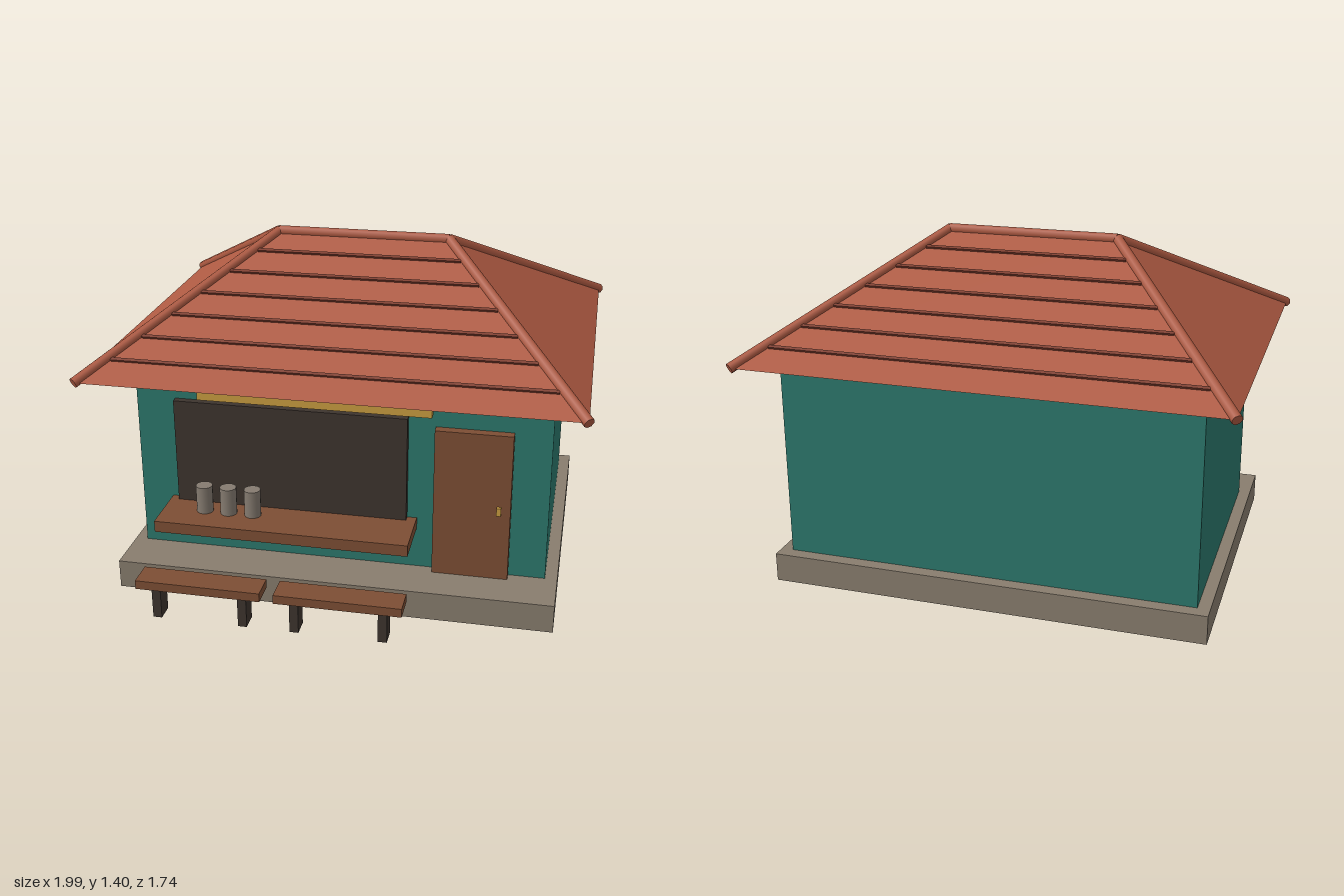
import * as THREE from 'three';

const paint = (name, color) => {
  const m = new THREE.MeshStandardMaterial({ color });
  m.name = name;
  return m;
};

export function createModel() {
  const model = new THREE.Group();
  model.name = 'foodStall';
  const teal = paint('teal wall', 0x2c786c);
  const tile = paint('roof tile', 0xae5a42);
  const tileDark = paint('dark roof tile', 0x7e3c2c);
  const wood = paint('wood', 0x7d4e34);
  const dark = paint('dark wood', 0x3d342e);
  const stone = paint('stone', 0x887d6e);
  const tin = paint('tin', 0x857b70);
  const gold = paint('gold', 0xc99c40);

  const add = (name, geometry, material, parent = model) => {
    const mesh = new THREE.Mesh(geometry, material);
    mesh.name = name;
    parent.add(mesh);
    return mesh;
  };
  // Box given by its extents on each axis
  const box = (name, mat, [x0, x1], [y0, y1], [z0, z1], parent) => {
    const mesh = add(name, new THREE.BoxGeometry(x1 - x0, y1 - y0, z1 - z0), mat, parent);
    mesh.position.set((x0 + x1) / 2, (y0 + y1) / 2, (z0 + z1) / 2);
    return mesh;
  };
  // Round pole between two points
  const pole = (name, a, b, r, parent) => {
    const dir = b.clone().sub(a);
    const mesh = add(name, new THREE.CylinderGeometry(r, r, dir.length(), 8), tile, parent);
    mesh.position.copy(a).add(b).multiplyScalar(0.5);
    mesh.quaternion.setFromUnitVectors(new THREE.Vector3(0, 1, 0), dir.normalize());
  };

  // Building
  box('plinth', stone, [-0.9, 0.9], [0, 0.12], [-0.745, 0.655]);
  box('walls', teal, [-0.85, 0.85], [0.12, 0.957], [-0.69, 0.45]);
  box('servingHatch', dark, [-0.685, 0.28], [0.32, 0.79], [0.44, 0.48]);
  box('counter', wood, [-0.72, 0.32], [0.295, 0.343], [0.45, 0.687]);
  box('signBoard', gold, [-0.575, 0.38], [0.813, 0.917], [0.465, 0.505]);
  box('door', wood, [0.39, 0.7], [0.12, 0.755], [0.45, 0.49]);
  box('doorHandle', gold, [0.645, 0.663], [0.412, 0.446], [0.49, 0.505]);

  // Cups on the counter
  for (const x of [-0.545, -0.444, -0.342]) {
    add('cup', new THREE.CylinderGeometry(0.034, 0.034, 0.116, 16), tin).position.set(x, 0.401, 0.555);
  }

  // Benches
  for (const x of [-0.49, 0.075]) {
    const bench = new THREE.Group();
    bench.name = 'bench';
    model.add(bench);
    box('benchSeat', wood, [x - 0.255, x + 0.255], [0.133, 0.17], [0.758, 0.87], bench);
    for (const s of [-1, 1]) {
      const c = x + s * 0.177;
      box('benchLeg', dark, [c - 0.018, c + 0.018], [0, 0.133], [0.778, 0.852], bench);
    }
  }

  // Hip roof, centred on its ridge
  const roof = new THREE.Group();
  roof.name = 'roof';
  roof.position.z = -0.046;
  model.add(roof);
  const W = 0.98, D = 0.807, R = 0.36, Y0 = 0.955, Y1 = 1.38;
  const A = [-W, Y0, D], B = [W, Y0, D], C = [W, Y0, -D], E = [-W, Y0, -D];
  const P = [-R, Y1, 0], Q = [R, Y1, 0];
  const faces = [A, B, Q, A, Q, P, C, E, P, C, P, Q, B, C, Q, E, A, P, A, E, C, A, C, B];
  const shell = new THREE.BufferGeometry();
  shell.setAttribute('position', new THREE.Float32BufferAttribute(faces.flat(), 3));
  shell.computeVertexNormals();
  add('roofShell', shell, tile, roof);

  // Ridge and hip poles
  const v = (p) => new THREE.Vector3(...p);
  pole('ridgePole', v(P), v(Q), 0.022, roof);
  for (const [low, high] of [[A, P], [E, P], [B, Q], [C, Q]]) {
    pole('hipPole', v(low), v(high), 0.022, roof);
  }

  // Tile courses on the front and back slopes
  const slope = Math.atan2(Y1 - Y0, D);
  for (const s of [1, -1]) {
    for (let i = 1; i < 7; i++) {
      const t = i / 7;
      const half = W + (R - W) * t - 0.025;
      const course = add('tileCourse', new THREE.BoxGeometry(half * 2, 0.014, 0.014), tileDark, roof);
      course.position.set(0, Y0 + (Y1 - Y0) * t + 0.002, s * D * (1 - t));
      course.rotation.x = s * slope;
    }
  }
  return model;
}
